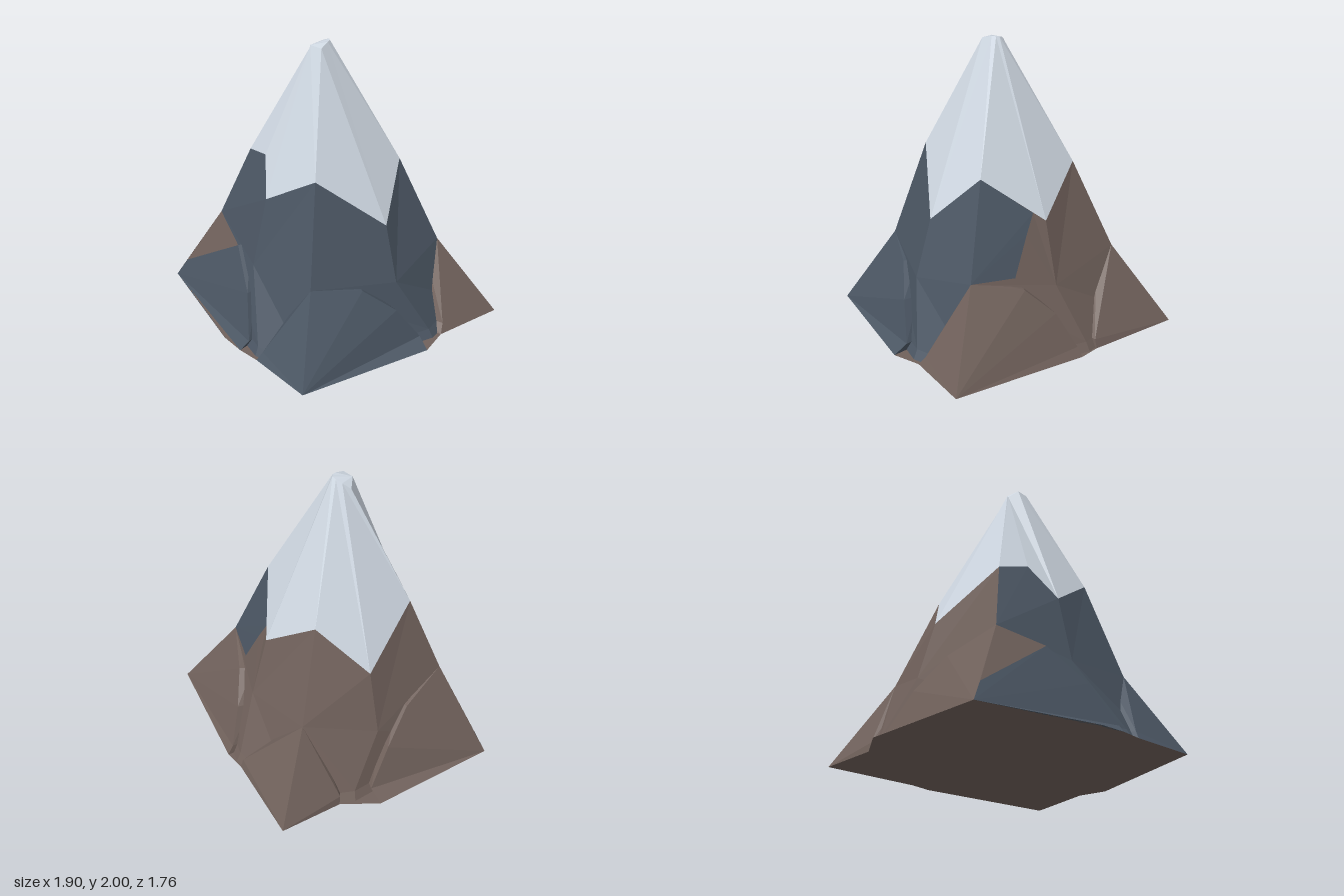
import * as THREE from 'three';

const material = (name, color) =>
  new THREE.MeshStandardMaterial({ name, color, side: THREE.DoubleSide });

// Faceted mesh from convex polygons, each fanned from its first corner and turned outward
function facets(name, mat, polygons) {
  const positions = [];
  const core = new THREE.Vector3(0, 0.3, 0);
  for (const polygon of polygons) {
    const p = polygon.map((c) => new THREE.Vector3(...c));
    for (let i = 1; i < p.length - 1; i++) {
      let tri = [p[0], p[i], p[i + 1]];
      const normal = p[i].clone().sub(p[0]).cross(p[i + 1].clone().sub(p[0]));
      const out = p[0].clone().add(p[i]).add(p[i + 1]).divideScalar(3).sub(core);
      if (normal.dot(out) < 0) tri = [p[0], p[i + 1], p[i]];
      tri.forEach((v) => positions.push(v.x, v.y, v.z));
    }
  }
  const geometry = new THREE.BufferGeometry();
  geometry.setAttribute('position', new THREE.Float32BufferAttribute(positions, 3));
  geometry.computeVertexNormals();
  const mesh = new THREE.Mesh(geometry, mat);
  mesh.name = name;
  return mesh;
}

// Eight ridges, in order: front, front left, left, back left, back, back right, right, front right
const summit = [[-0.02, 1.98, 0.11], [0.07, 1.98, 0.09], [0.045, 2, 0.02], [0.03, 2, -0.01],
  [0.01, 2, -0.02], [-0.02, 1.99, -0.01], [-0.05, 1.97, 0.02], [-0.08, 1.93, 0.07]];
const snowLine = [[0, 0.98, 0.5], [0.36, 1.23, 0.36], [0.59, 0.86, -0.05], [0.38, 1.18, -0.33],
  [0, 0.87, -0.53], [-0.37, 1.15, -0.34], [-0.59, 0.83, -0.05], [-0.38, 1.15, 0.36]];
const shoulder = [[0, 0.5, 0.62], [0.53, 0.55, 0.53], [0.71, 0.47, -0.05], [0.59, 0.57, -0.52],
  [0, 0.45, -0.65], [-0.57, 0.55, -0.54], [-0.71, 0.42, -0.05], [-0.53, 0.63, 0.53]];
const foot = [[0.28, 0.06, 0.79], [0.66, 0.06, 0.66], [0.84, 0.06, -0.25], [0.7, 0.06, -0.68],
  [-0.13, 0.06, -0.82], [-0.7, 0.06, -0.68], [-0.82, 0.06, -0.28], [-0.66, 0.06, 0.66]];
const ground = foot.map(([x, , z]) => [x * 1.04, 0, z * 1.04]);

// Spur faces run: outer corner, ground points, curve up the core, top of the spur
const cornerFL = [0.8, 0, 0.8];
const cornerBL = [0.91, 0, -0.82];
const cornerBR = [-0.87, 0, -0.84];
const cornerFR = [-0.85, 0, 0.75];
const patchLow = [-0.77, 0.15, 0.7];
const patchEnd = [-0.2, 0.55, 0.61];
const faces = {
  frontLong: [cornerFR, [0, 0, 0.88], [0.18, 0, 0.87], [0.2, 0.06, 0.81], [0.05, 0.33, 0.71], patchEnd, patchLow],
  frontShort: [cornerFL, [0.33, 0, 0.84], [0.35, 0.06, 0.8], shoulder[1]],
  leftLong: [cornerFL, [0.95, 0, -0.14], [0.86, 0.06, -0.15], [0.78, 0.3, 0], [0.66, 0.48, 0.2], shoulder[1]],
  leftShort: [cornerBL, [0.88, 0, -0.33], [0.85, 0.06, -0.37], shoulder[3]],
  backLong: [cornerBL, [-0.05, 0, -0.88], [-0.04, 0.06, -0.84], [0.07, 0.3, -0.74], [0.25, 0.48, -0.64], shoulder[3]],
  backShort: [cornerBR, [-0.2, 0, -0.85], [-0.2, 0.06, -0.83], shoulder[5]],
  rightLong: [cornerFR, [-0.95, 0, -0.15], [-0.85, 0.06, -0.17], [-0.77, 0.3, 0], [-0.66, 0.5, 0.2], shoulder[7]],
  rightShort: [cornerBR, [-0.83, 0, -0.4], [-0.82, 0.06, -0.39], shoulder[5]],
};

// A spur face plus the lip that tucks its free edge into the core
function spurFace(face) {
  const tuck = ([x, y, z]) => [x * 0.86, y, z * 0.86];
  const polygons = [face];
  for (let i = 1; i < face.length - 1; i++) {
    if (face[i][1] === 0 && face[i + 1][1] === 0) continue;
    polygons.push([face[i], face[i + 1], tuck(face[i + 1]), tuck(face[i])]);
  }
  return polygons;
}

export function createModel() {
  const snow = material('snow', 0xced7e1);
  const slate = material('slate rock', 0x4b5663);
  const brown = material('brown rock', 0x70615b);
  const group = new THREE.Group();
  group.name = 'mountain';

  const notch = [-0.16, 1.21, 0.385]; // extra point in the front snow line
  const stain = [[0.076, 0.93, -0.49], [0.15, 0.8, -0.52], [0.28, 0.55, -0.575]]; // colour border at the back
  const snowFaces = [summit];
  const slateFaces = [];
  const brownFaces = [];

  for (let i = 0; i < 8; i++) {
    const j = (i + 1) % 8;
    const notched = i === 7 ? [notch] : [];
    const rock = i < 3 || i === 7 ? slateFaces : brownFaces;
    snowFaces.push([summit[i], summit[j], snowLine[j], ...notched, snowLine[i]]);
    if (i === 3) {
      slateFaces.push([shoulder[3], snowLine[3], ...stain]);
      brownFaces.push([shoulder[4], snowLine[4], ...stain, shoulder[3]]);
    } else {
      rock.push([shoulder[i], snowLine[i], ...notched, snowLine[j], shoulder[j]]);
    }
    rock.push([shoulder[i], shoulder[j], foot[j], foot[i]]);
    rock.push([foot[i], foot[j], ground[j], ground[i]]);
  }
  group.add(facets('snowCap', snow, snowFaces));
  group.add(facets('slateSlopes', slate, slateFaces));
  group.add(facets('brownSlopes', brown, brownFaces));

  // Corner spurs
  for (const [name, face] of Object.entries(faces)) {
    const isSlate = ['frontLong', 'frontShort', 'leftLong'].includes(name);
    group.add(facets(name + 'SpurFace', isSlate ? slate : brown, spurFace(face)));
  }
  group.add(facets('frontBrownPatch', brown, [[patchLow, patchEnd, shoulder[7]]]));

  // Underside
  const outline = [cornerFR, [0, 0, 0.88], [0.18, 0, 0.87], [0.33, 0, 0.84], cornerFL,
    [0.95, 0, -0.14], [0.88, 0, -0.33], cornerBL, [-0.05, 0, -0.88], [-0.2, 0, -0.85],
    cornerBR, [-0.83, 0, -0.4], [-0.95, 0, -0.15]];
  group.add(facets('underside', brown,
    outline.map((p, i) => [[0, 0, 0], p, outline[(i + 1) % outline.length]])));
  return group;
}
